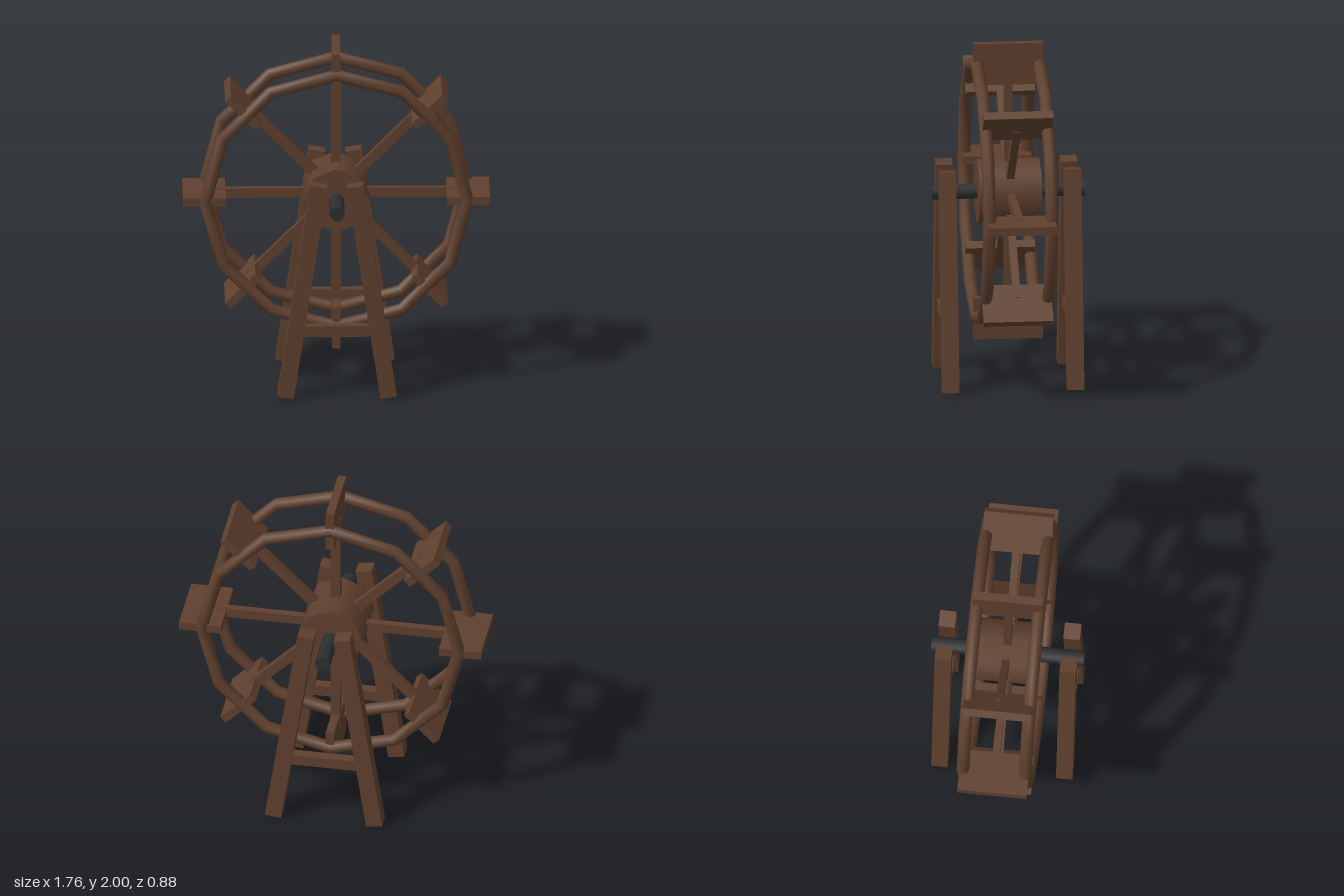
import * as THREE from 'three';

const wood = new THREE.MeshStandardMaterial({ color: 0x5f402e });
wood.name = 'dark wood';
const iron = new THREE.MeshStandardMaterial({ color: 0x2c2e30 });
iron.name = 'dark iron';

const AXLE_Y = 1.12;

function add(parent, name, geometry, material, x = 0, y = 0, z = 0) {
  const mesh = new THREE.Mesh(geometry, material);
  mesh.name = name;
  mesh.position.set(x, y, z);
  parent.add(mesh);
  return mesh;
}

export function createModel() {
  const model = new THREE.Group();
  model.name = 'waterWheel';

  // Wheel, built around its own centre
  const wheel = new THREE.Group();
  wheel.name = 'wheel';
  wheel.position.y = AXLE_Y;
  model.add(wheel);

  add(wheel, 'hub', new THREE.CylinderGeometry(0.19, 0.19, 0.36, 8).rotateX(Math.PI / 2), wood);
  add(wheel, 'axle', new THREE.CylinderGeometry(0.045, 0.045, 0.88, 10).rotateX(Math.PI / 2), iron);

  // Two twelve-sided rims
  const rimGeometry = new THREE.TorusGeometry(0.752, 0.037, 8, 12);
  for (const side of [1, -1]) add(wheel, 'rim', rimGeometry, wood, 0, 0, side * 0.18);

  // Eight spokes, each carrying a paddle
  const spokeGeometry = new THREE.BoxGeometry(0.62, 0.056, 0.044);
  const paddleGeometry = new THREE.BoxGeometry(0.245, 0.048, 0.4);
  for (let i = 0; i < 8; i++) {
    const arm = new THREE.Group();
    arm.name = 'arm';
    arm.rotation.z = (i * Math.PI) / 4;
    add(arm, 'spoke', spokeGeometry, wood, 0.41);
    add(arm, 'paddle', paddleGeometry, wood, 0.7575);
    wheel.add(arm);
  }

  // Splayed leg pairs with a cross brace, front and back
  const legGeometry = new THREE.BoxGeometry(0.095, 1.277, 0.095);
  const braceGeometry = new THREE.BoxGeometry(0.46, 0.064, 0.06);
  for (const side of [1, -1]) {
    const frame = new THREE.Group();
    frame.name = side > 0 ? 'frontFrame' : 'backFrame';
    frame.position.z = side * 0.36;
    for (const s of [1, -1]) {
      add(frame, s > 0 ? 'leftLeg' : 'rightLeg', legGeometry, wood, s * 0.2, 0.6385).rotation.z = s * 0.15;
    }
    add(frame, 'brace', braceGeometry, wood, 0, 0.4);
    model.add(frame);
  }

  return model;
}
